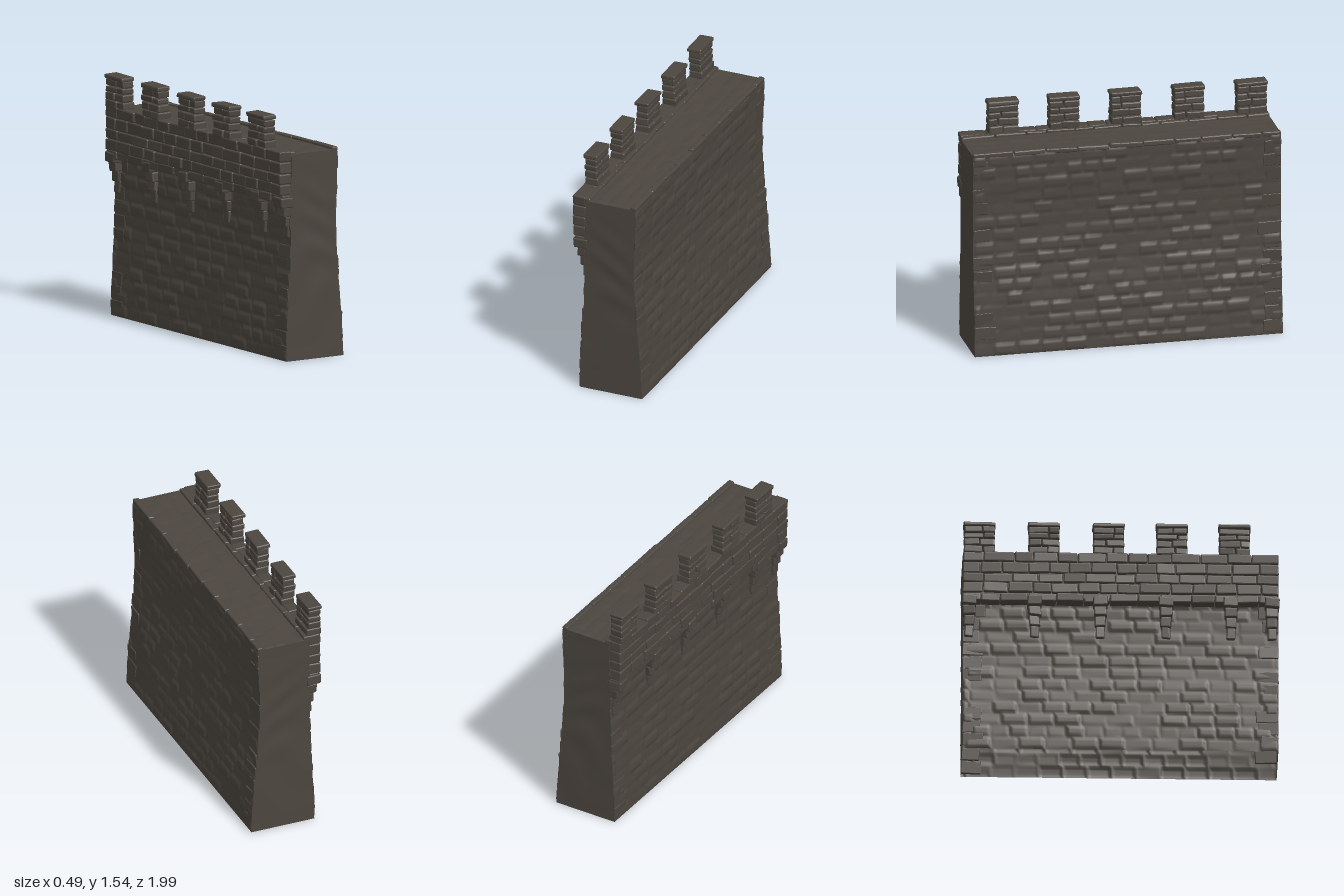
import * as THREE from 'three';
import { mergeGeometries } from 'three/addons/utils/BufferGeometryUtils.js';
import { RoundedBoxGeometry } from 'three/addons/geometries/RoundedBoxGeometry.js';

const HALF = 0.985, TOP = 1.31;

// Wall profile from foot to walkway: [y, outer x, inner x]
const PROFILE = [
  [0, -0.19, 0.236], [0.2, -0.184, 0.224], [0.4, -0.175, 0.209], [0.57, -0.163, 0.192],
  [0.8, -0.157, 0.18], [1.05, -0.156, 0.18], [1.06, -0.153, 0.186], [TOP, -0.15, 0.188],
];

function profileX(y, side) {
  const k = side < 0 ? 1 : 2;
  for (let i = 1; i < PROFILE.length; i++) {
    const a = PROFILE[i - 1], b = PROFILE[i];
    if (y <= b[0]) return THREE.MathUtils.lerp(a[k], b[k], (y - a[0]) / (b[0] - a[0]));
  }
  return PROFILE[PROFILE.length - 1][k];
}

function hash(a, b) {
  const s = Math.sin(a * 127.1 + b * 311.7) * 43758.5453;
  return s - Math.floor(s);
}

function makeRandom(seed) {
  return () => (seed = (seed * 16807) % 2147483647) / 2147483647;
}

// Height of the worn masonry at a point on a face
function relief(y, z, seed) {
  const row = Math.floor(y / 0.082);
  const width = 0.11 + 0.07 * hash(row, seed);
  const u = (z + 2) / width + hash(row, seed + 5);
  const col = Math.floor(u), fu = u - col, fv = y / 0.082 - row;
  const h = hash(row + seed * 9, col);
  const edge = Math.min(Math.min(fu, 1 - fu) * width, Math.min(fv, 1 - fv) * 0.082);
  const tilt = (hash(col, row + seed) - 0.5) * (fu - 0.5) + (hash(col + 3, row) - 0.5) * (fv - 0.5);
  const raised = h > 0.45 ? 0.003 + 0.007 * h : 0.002;
  return THREE.MathUtils.smoothstep(edge, 0, 0.018) * Math.max(0, raised + 0.008 * tilt);
}

// Grid surface from a point function of u, v in 0..1
function surface(nu, nv, point, flip) {
  const pos = [], index = [];
  for (let j = 0; j <= nv; j++) for (let i = 0; i <= nu; i++) pos.push(...point(i / nu, j / nv));
  for (let j = 0; j < nv; j++) for (let i = 0; i < nu; i++) {
    const a = j * (nu + 1) + i, b = a + 1, c = a + nu + 1, d = c + 1;
    if (flip) index.push(a, c, b, b, c, d);
    else index.push(a, b, c, b, d, c);
  }
  const g = new THREE.BufferGeometry();
  g.setAttribute('position', new THREE.Float32BufferAttribute(pos, 3));
  g.setIndex(index);
  g.computeVertexNormals();
  return g;
}

// One rough stone filling the given bounds, with slightly skewed sides
function stone(x0, x1, y0, y1, z0, z1, random, wobble = 0.005) {
  const sx = x1 - x0, sy = y1 - y0, sz = z1 - z0;
  const g = new RoundedBoxGeometry(sx, sy, sz, 2, Math.min(0.009, sx / 3, sy / 3, sz / 3));
  const p = g.attributes.position;
  const k = Array.from({ length: 6 }, () => (random() - 0.5) * 2 * wobble);
  for (let i = 0; i < p.count; i++) {
    const x = p.getX(i) / sx, y = p.getY(i) / sy, z = p.getZ(i) / sz;
    p.setXYZ(i,
      p.getX(i) + k[0] * y + k[1] * z,
      p.getY(i) + k[2] * z + k[3] * x * 0.5,
      p.getZ(i) + k[4] * y + k[5] * x);
  }
  g.computeVertexNormals();
  g.translate((x0 + x1) / 2, (y0 + y1) / 2, (z0 + z1) / 2);
  return g;
}

// A row of stones of uneven length along z
function course(x0, x1, y0, y1, z0, z1, length, random, jut = 0.008) {
  const list = [];
  let z = z0;
  while (z < z1 - 0.001) {
    let end = z + length * (0.7 + 0.6 * random());
    if (z1 - end < length * 0.5) end = z1;
    list.push(stone(x0 + jut * random(), x1 - jut * 0.5 * random(), y0,
      y1 - 0.005 * random(), z + 0.001, end - 0.001, random));
    z = end;
  }
  return list;
}

export function createModel() {
  const model = new THREE.Group();
  model.name = 'castleWall';
  const masonry = new THREE.MeshStandardMaterial({ color: 0x4c463f, side: THREE.DoubleSide });
  masonry.name = 'dark stone';
  const random = makeRandom(4711);
  const add = (name, geometry, parent = model) => {
    const mesh = new THREE.Mesh(Array.isArray(geometry) ? mergeGeometries(geometry) : geometry, masonry);
    mesh.name = name;
    parent.add(mesh);
  };

  // Long faces of the wall, open underneath
  for (const side of [-1, 1]) {
    add(side < 0 ? 'outerFace' : 'innerFace', surface(200, 100, (u, v) => {
      const z = (u * 2 - 1) * HALF, y = v * TOP;
      const fade = u === 0 || u === 1 || v === 0 || v === 1 ? 0 : 1;
      return [profileX(y, side) + side * fade * relief(y, z, side + 2), y, z];
    }, side > 0));
  }

  // End faces with soft horizontal ripples
  for (const end of [-1, 1]) {
    add(end > 0 ? 'frontEnd' : 'backEnd', surface(8, 60, (u, v) => {
      const y = v * TOP;
      const rim = Math.sin(u * Math.PI) * Math.sin(v * Math.PI);
      const ripple = rim * 0.004 * Math.sin(y * 24 + 3 * Math.sin(u * 3 + y * 5));
      return [THREE.MathUtils.lerp(profileX(y, -1), profileX(y, 1), u), y, end * HALF + ripple];
    }, end < 0));
  }

  // Walkway paving
  add('walkway', surface(24, 120, (u, v) => {
    const x = THREE.MathUtils.lerp(-0.15, 0.188, u), z = (v * 2 - 1) * HALF;
    const fade = u === 0 || u === 1 || v === 0 || v === 1 ? 0 : 1;
    return [x, TOP + fade * 0.6 * relief(x + 0.5, z, 7), z];
  }, true));

  // Kerbs along both sides of the walkway
  add('innerKerb', course(0.152, 0.196, 1.292, 1.328, -HALF, HALF, 0.17, random, 0.006));
  add('outerKerb', course(-0.165, -0.12, 1.29, 1.332, -HALF, HALF, 0.17, random, 0.006));

  // Overhanging parapet: solid core with stone courses
  const core = new THREE.BoxGeometry(0.07, 0.295, HALF * 2 - 0.02);
  core.translate(-0.185, 1.172, 0);
  add('parapetCore', core);
  const rows = [1.0, 1.055, 1.125, 1.19, 1.265, 1.335];
  const parapet = [];
  for (let i = 0; i < rows.length - 1; i++) {
    const out = i === 0 ? -0.232 : -0.243;
    parapet.push(...course(out, -0.15, rows[i], rows[i + 1], -HALF, HALF, 0.15, random, 0.012));
  }
  add('parapet', parapet);

  // Merlons
  const merlons = new THREE.Group();
  merlons.name = 'merlons';
  model.add(merlons);
  const levels = [1.325, 1.375, 1.425, 1.465, 1.51];
  for (const z of [-0.88, -0.478, -0.075, 0.32, 0.71]) {
    const list = [];
    for (let i = 0; i < levels.length - 1; i++) {
      const inner = i === 0 ? -0.142 : -0.152;
      list.push(...course(-0.241, inner, levels[i], levels[i + 1], z - 0.097, z + 0.097, 0.11, random));
    }
    list.push(...course(-0.247, -0.149, 1.507, 1.538, z - 0.101, z + 0.101, 0.13, random, 0.003));
    add('merlon', list, merlons);
  }

  // Stepped corbels under the parapet
  const corbels = new THREE.Group();
  corbels.name = 'corbels';
  model.add(corbels);
  const steps = [[0.975, 1.04, -0.235, 0.046], [0.915, 0.98, -0.21, 0.04], [0.85, 0.92, -0.19, 0.034], [0.775, 0.855, -0.176, 0.028]];
  for (const z of [-0.945, -0.535, -0.125, 0.285, 0.69, 0.945]) {
    add('corbel', steps.map(([y0, y1, x, w]) => stone(x, -0.14, y0, y1, z - w, z + w, random, 0.007)), corbels);
  }

  // Worn quoin stones on the wall corners
  const quoins = [];
  for (const side of [-1, 1]) for (const end of [-1, 1]) {
    for (let y = 0.02; y < 1.2; y += 0.09) {
      if (random() < 0.4) continue;
      const x = profileX(y + 0.04, side), z = end * (HALF - 0.045 - 0.03 * random());
      const w = Math.abs(end * HALF - z);
      quoins.push(stone(x - 0.006, x + 0.006, y, y + 0.08, z - w, z + w, random, 0.006));
    }
  }
  add('quoins', quoins);
  return model;
}
